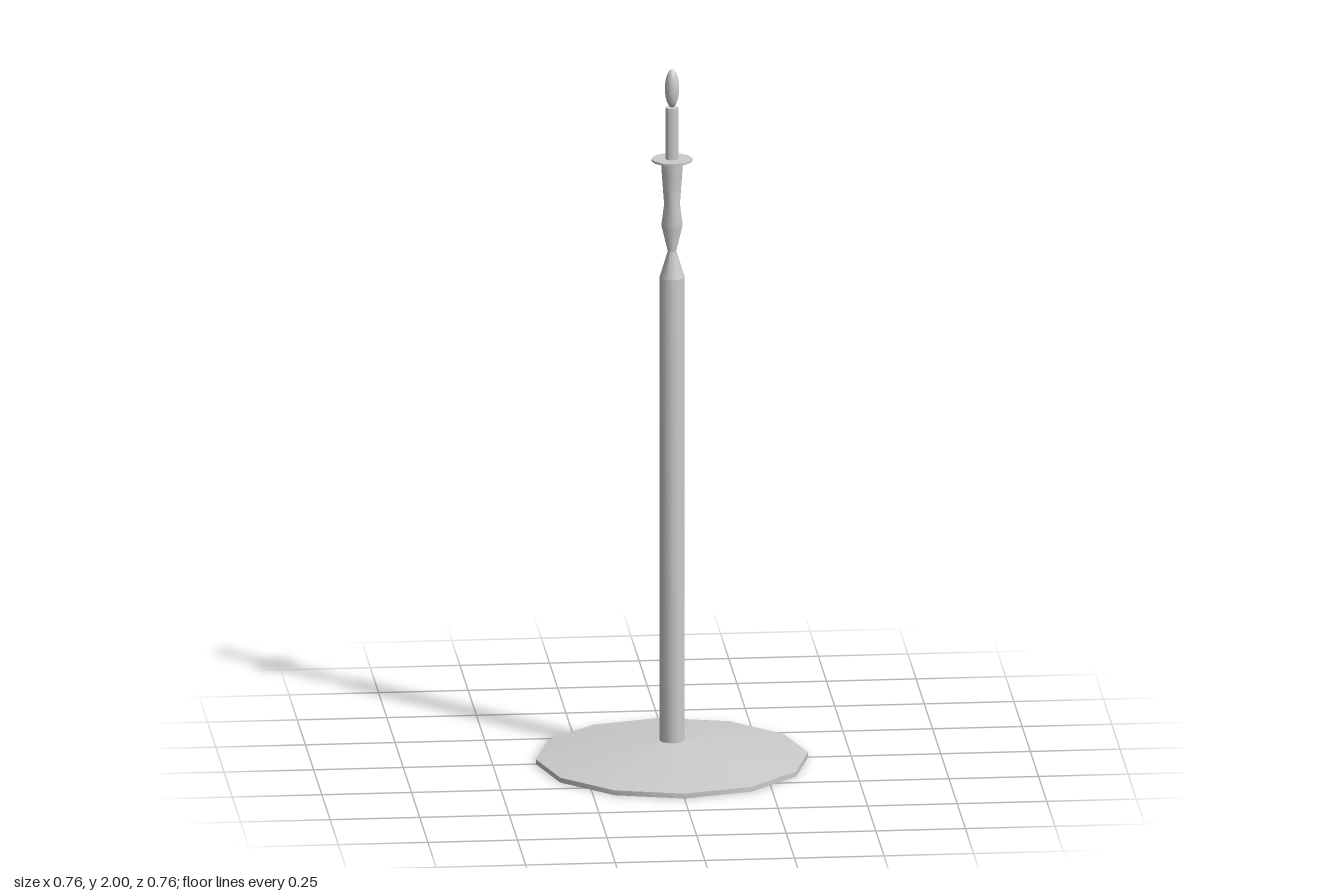
import * as THREE from 'three';
import { toCreasedNormals } from 'three/addons/utils/BufferGeometryUtils.js';

const SIDES = 12;

export function createModel() {
  const model = new THREE.Group();
  const material = new THREE.MeshStandardMaterial({ color: 0xcccccc });

  const add = (name, geometry) => {
    const mesh = new THREE.Mesh(geometry, material);
    mesh.name = name;
    model.add(mesh);
    return mesh;
  };

  // Turned part from [radius, height] pairs, listed bottom to top
  const turned = (name, profile) => {
    const points = profile.map(([r, y]) => new THREE.Vector2(r, y));
    return add(name, toCreasedNormals(new THREE.LatheGeometry(points, SIDES), 0.6));
  };

  // Wide foot: thin rim and shallow cone
  turned('base', [[0, 0], [0.38, 0], [0.38, 0.014], [0.035, 0.06], [0, 0.06]]);

  // Straight post
  turned('post', [[0.035, 0.05], [0.035, 1.4]]);

  // Waisted neck, bulb and flared cup
  turned('neck', [
    [0.035, 1.4], [0.012, 1.475], [0.03, 1.55], [0.022, 1.61],
    [0.028, 1.69], [0.031, 1.737], [0, 1.737],
  ]);

  // Drip tray
  turned('dripTray', [[0, 1.736], [0.057, 1.736], [0.057, 1.742], [0, 1.742]]);

  // Candle
  turned('candle', [[0.018, 1.74], [0.018, 1.89], [0, 1.89]]);

  // Flame-shaped bulb
  const flame = add('flame', new THREE.SphereGeometry(1, 16, 12));
  flame.scale.set(0.02, 0.055, 0.02);
  flame.position.y = 1.945;

  return model;
}
